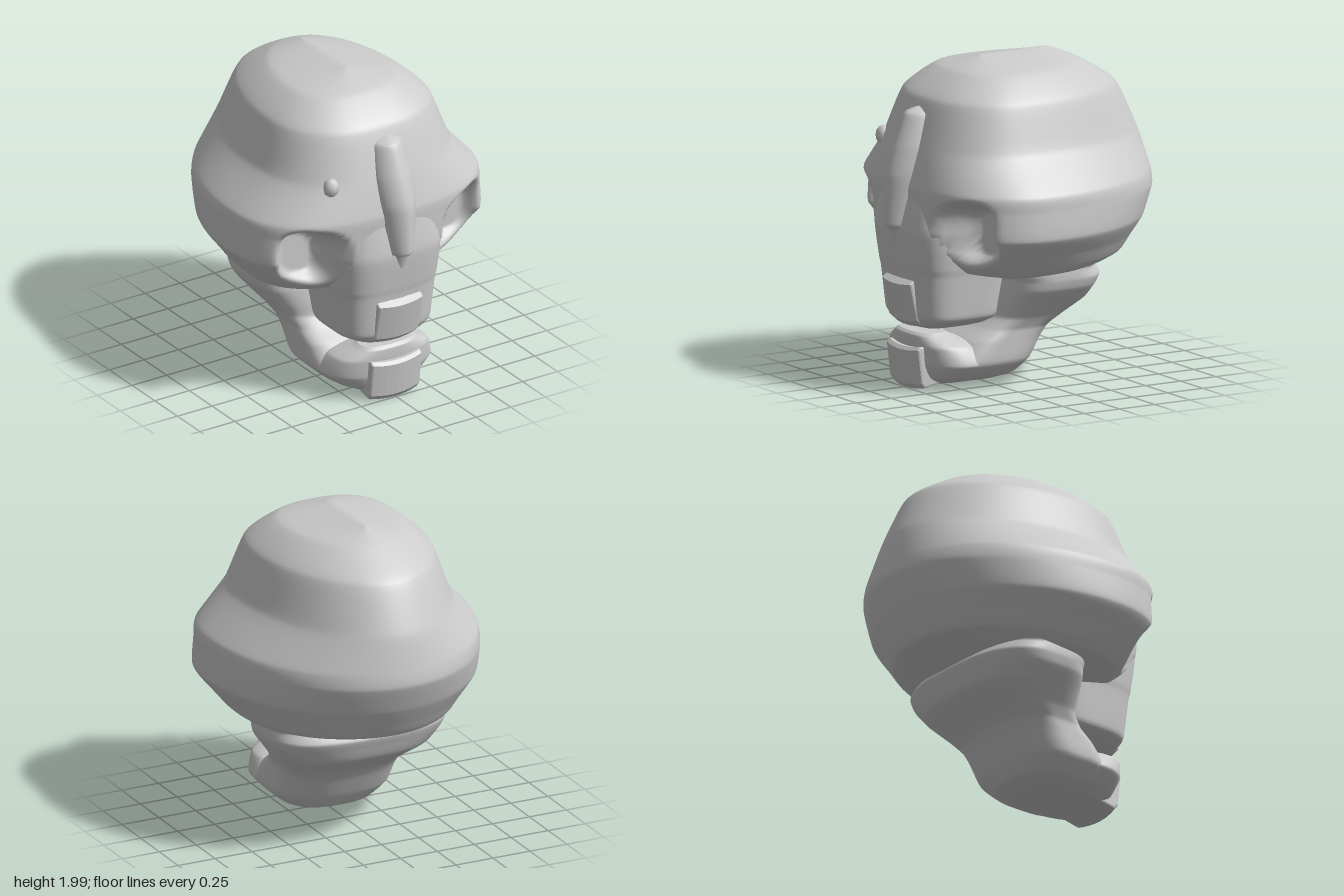
import * as THREE from 'three';

const material = new THREE.MeshStandardMaterial({ color: 0xcccccc, side: THREE.DoubleSide });

// Signed power, for superellipse rings
const spow = (v, p) => Math.sign(v) * Math.abs(v) ** p;

// Stacked rings, top to bottom. Each section is [y, halfWidth, frontZ, backZ].
// k places the widest point between back and front; nf and nb set how boxy the ends are.
function loft(name, sections, { k = 0.5, nf = 2, nb = 2, rows = 40, around = 64, reshape } = {}) {
  const spline = (f) => new THREE.CatmullRomCurve3(sections.map(f), false, 'catmullrom', 0.25);
  const sizes = spline((s) => new THREE.Vector3(s[1], s[2], s[3]));
  const heights = spline((s) => new THREE.Vector3(0, s[0], 0));
  const position = [];
  const index = [];
  for (let i = -1; i <= rows + 1; i++) {
    const t = THREE.MathUtils.clamp(i / rows, 0, 1);
    const { x: w, y: front, z: back } = sizes.getPoint(t);
    const y = heights.getPoint(t).y;
    const zc = back + (front - back) * k;
    const scale = i < 0 || i > rows ? 0 : 1; // closing points
    for (let j = 0; j < around; j++) {
      const a = (j / around) * Math.PI * 2;
      const c = Math.cos(a);
      const n = c > 0 ? nf : nb;
      const p = new THREE.Vector3(
        w * scale * spow(Math.sin(a), 2 / n), y,
        zc + scale * (c > 0 ? front - zc : zc - back) * spow(c, 2 / n));
      if (reshape) reshape(p);
      position.push(p.x, p.y, p.z);
    }
  }
  for (let i = 0; i < rows + 2; i++) {
    for (let j = 0; j < around; j++) {
      const a = i * around + j;
      const c = i * around + ((j + 1) % around);
      index.push(a, a + around, c, a + around, c + around, c);
    }
  }
  const geometry = new THREE.BufferGeometry();
  geometry.setAttribute('position', new THREE.Float32BufferAttribute(position, 3));
  geometry.setIndex(index);
  geometry.computeVertexNormals();
  const mesh = new THREE.Mesh(geometry, material);
  mesh.name = name;
  return mesh;
}

// Sinks the two eye sockets into the front of the cranium
function sinkSockets(p) {
  if (p.z < 0.42) return;
  const dx = Math.abs((Math.abs(p.x) - 0.54) / 0.2);
  const dy = Math.abs((p.y - 1.02 + (Math.abs(p.x) - 0.54) * -0.15) / 0.22);
  const d = (dx ** 3 + dy ** 3) ** (1 / 3);
  const mask = 1 - THREE.MathUtils.smoothstep(d, 0.55, 1.05);
  p.z += (Math.min(p.z, 0.47) - p.z) * mask;
}

// Tooth plate: a side profile of [z, y] points swept across x and bowed back at its ends
function toothPlate(name, profile, halfWidth, bow) {
  const shape = new THREE.Shape(profile.map(([z, y]) => new THREE.Vector2(z, y)));
  const bevel = 0.012;
  const geometry = new THREE.ExtrudeGeometry(shape, {
    depth: 2 * (halfWidth - bevel), steps: 8, bevelThickness: bevel,
    bevelSize: bevel, bevelOffset: -bevel, bevelSegments: 2,
  });
  geometry.rotateY(-Math.PI / 2).translate(halfWidth - bevel, 0, 0);
  const pos = geometry.attributes.position;
  for (let i = 0; i < pos.count; i++) {
    const x = pos.getX(i);
    pos.setZ(i, pos.getZ(i) - bow * x * x);
    pos.setY(i, pos.getY(i) + bow * 0.6 * x * x);
  }
  geometry.computeVertexNormals();
  const mesh = new THREE.Mesh(geometry, material);
  mesh.name = name;
  return mesh;
}

export function createModel() {
  const group = new THREE.Group();
  group.name = 'skull';

  // Braincase with brow, cheeks and eye sockets
  group.add(loft('cranium', [
    [2.0, 0.02, 0.2, -0.28],
    [1.93, 0.35, 0.43, -0.45],
    [1.78, 0.53, 0.62, -0.69],
    [1.49, 0.64, 0.73, -0.83],
    [1.27, 0.83, 0.79, -0.88],
    [1.17, 0.845, 0.79, -0.89],
    [1.0, 0.85, 0.78, -0.82],
    [0.88, 0.76, 0.71, -0.75],
    [0.79, 0.69, 0.62, -0.69],
    [0.74, 0.63, 0.55, -0.56],
    [0.69, 0.46, 0.35, -0.43],
  ], { k: 0.62, nf: 2.5, rows: 100, around: 144, reshape: sinkSockets }));

  // Middle of the face and upper jaw
  group.add(loft('upperJaw', [
    [1.4, 0.18, 0.72, 0.3],
    [1.25, 0.33, 0.78, 0.2],
    [1.0, 0.37, 0.825, 0.15],
    [0.78, 0.355, 0.8, 0.15],
    [0.72, 0.345, 0.79, 0.15],
    [0.48, 0.32, 0.765, 0.2],
    [0.44, 0.3, 0.75, 0.22],
    [0.4, 0.22, 0.73, 0.25],
    [0.365, 0.1, 0.62, 0.3],
  ], { nf: 3.6, nb: 4, rows: 48 }));

  // Ridge down the forehead and nose
  group.add(loft('noseRidge', [
    [1.73, 0.03, 0.65, 0.5],
    [1.69, 0.1, 0.74, 0.5],
    [1.5, 0.13, 0.825, 0.55],
    [1.32, 0.125, 0.88, 0.6],
    [1.03, 0.09, 0.893, 0.65],
    [1.0, 0.085, 0.85, 0.65],
    [0.88, 0.06, 0.81, 0.65],
  ], { nf: 1.8, around: 40 }));

  // Lower jaw: broad rear part, then the front with the chin
  group.add(loft('jawRear', [
    [0.78, 0.57, -0.26, -0.33],
    [0.74, 0.59, 0.25, -0.4],
    [0.68, 0.59, 0.26, -0.44],
    [0.62, 0.57, 0.27, -0.42],
    [0.53, 0.5, 0.285, -0.38],
    [0.44, 0.43, 0.3, -0.25],
    [0.37, 0.395, 0.37, -0.15],
    [0.3, 0.39, 0.47, -0.1],
    [0.17, 0.38, 0.58, -0.03],
    [0.08, 0.29, 0.6, 0.04],
    [0.045, 0.2, 0.5, 0.15],
  ], { nf: 4, nb: 2.6, rows: 50 }));
  group.add(loft('jawFront', [
    [0.36, 0.18, 0.72, 0.53],
    [0.34, 0.21, 0.74, 0.5],
    [0.28, 0.32, 0.74, 0.36],
    [0.17, 0.37, 0.73, 0.2],
    [0.09, 0.29, 0.71, 0.2],
    [0.045, 0.2, 0.68, 0.25],
  ], { nf: 2.6, nb: 2.6 }));

  // Front tooth plates
  group.add(toothPlate('upperTeeth',
    [[0.7, 0.67], [0.79, 0.69], [0.83, 0.66], [0.78, 0.43], [0.74, 0.395], [0.62, 0.38], [0.62, 0.5]],
    0.16, 0.8));
  group.add(toothPlate('lowerTeeth',
    [[0.68, 0.26], [0.77, 0.27], [0.79, 0.25], [0.765, 0.04], [0.74, 0.01], [0.53, 0.05], [0.53, 0.12]],
    0.18, 0.8));

  // Small lump on the forehead
  const lump = new THREE.Mesh(new THREE.SphereGeometry(0.055, 8, 6), material);
  lump.name = 'foreheadLump';
  lump.scale.set(0.95, 1.15, 0.9);
  lump.position.set(-0.4, 1.48, 0.645);
  group.add(lump);

  return group;
}
